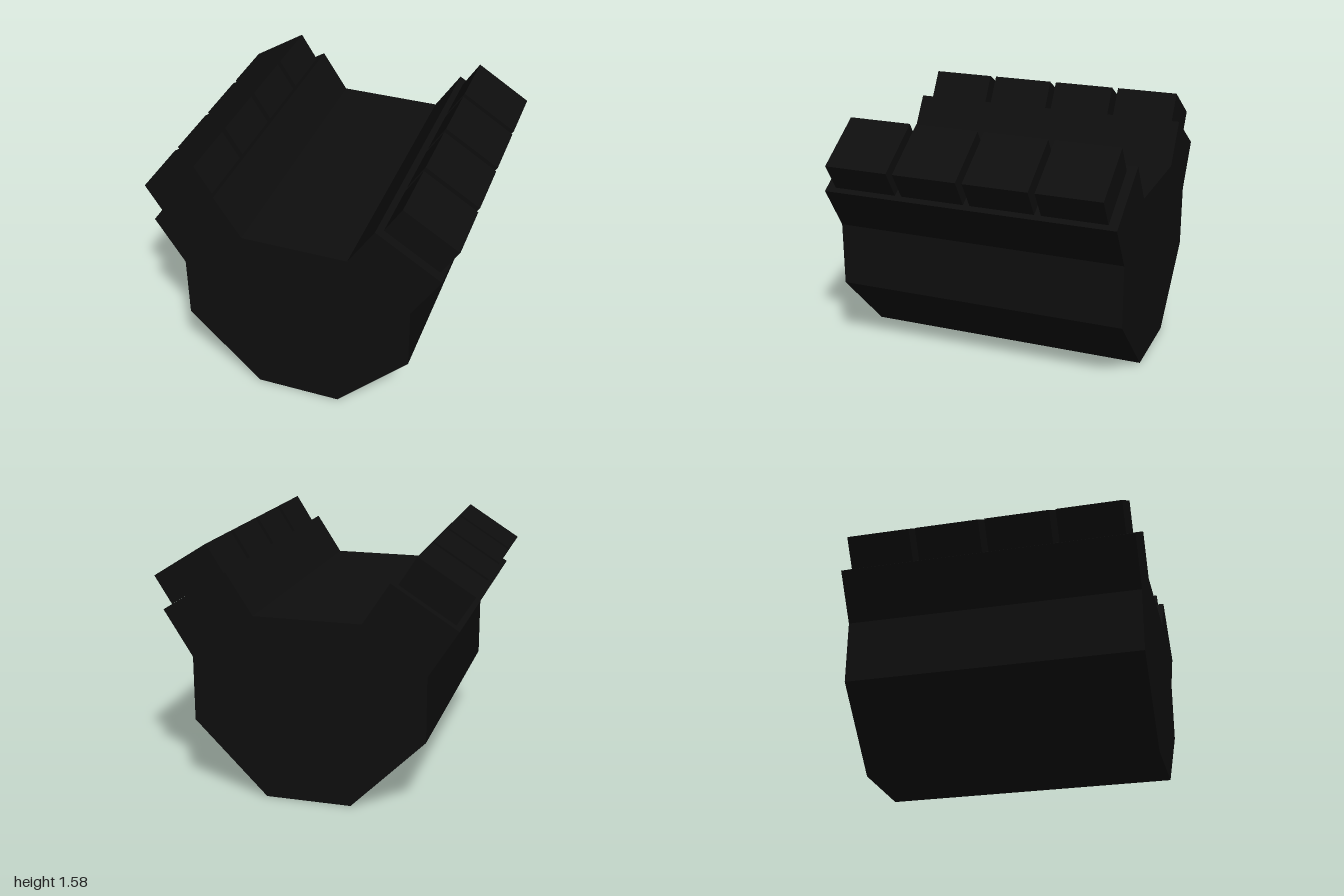
import * as THREE from 'three';

export function createModel() {
  const group = new THREE.Group();
  group.name = 'engineBlock';
  const black = new THREE.MeshStandardMaterial({ color: 0x0e0e0e });
  black.name = 'black';

  // Extrude an x-y outline along z, centred on the given z
  function prism(name, points, depth, z) {
    const shape = new THREE.Shape(points.map(([x, y]) => new THREE.Vector2(x, y)));
    const geometry = new THREE.ExtrudeGeometry(shape, { depth, bevelEnabled: false });
    geometry.translate(0, 0, z - depth / 2);
    const mesh = new THREE.Mesh(geometry, black);
    mesh.name = name;
    group.add(mesh);
  }

  // V-shaped crankcase with two angled cylinder banks
  const half = [[0.272, 0], [0.738, 0.468], [0.738, 0.88], [0.921, 1.17], [0.509, 1.43], [0.34, 1.17]];
  const mirrored = half.map(([x, y]) => [-x, y]).reverse();
  prism('crankcase', [...half, ...mirrored], 1.9, 0);

  // Four separate cylinder heads on each bank
  const head = [[0.89, 1.19], [1, 1.365], [0.653, 1.583], [0.543, 1.408]];
  for (const side of [1, -1]) {
    for (let i = 0; i < 4; i++) {
      prism(
        `${side > 0 ? 'left' : 'right'}CylinderHead${i + 1}`,
        head.map(([x, y]) => [side * x, y]),
        0.413,
        0.683 - i * 0.4555
      );
    }
  }
  return group;
}
